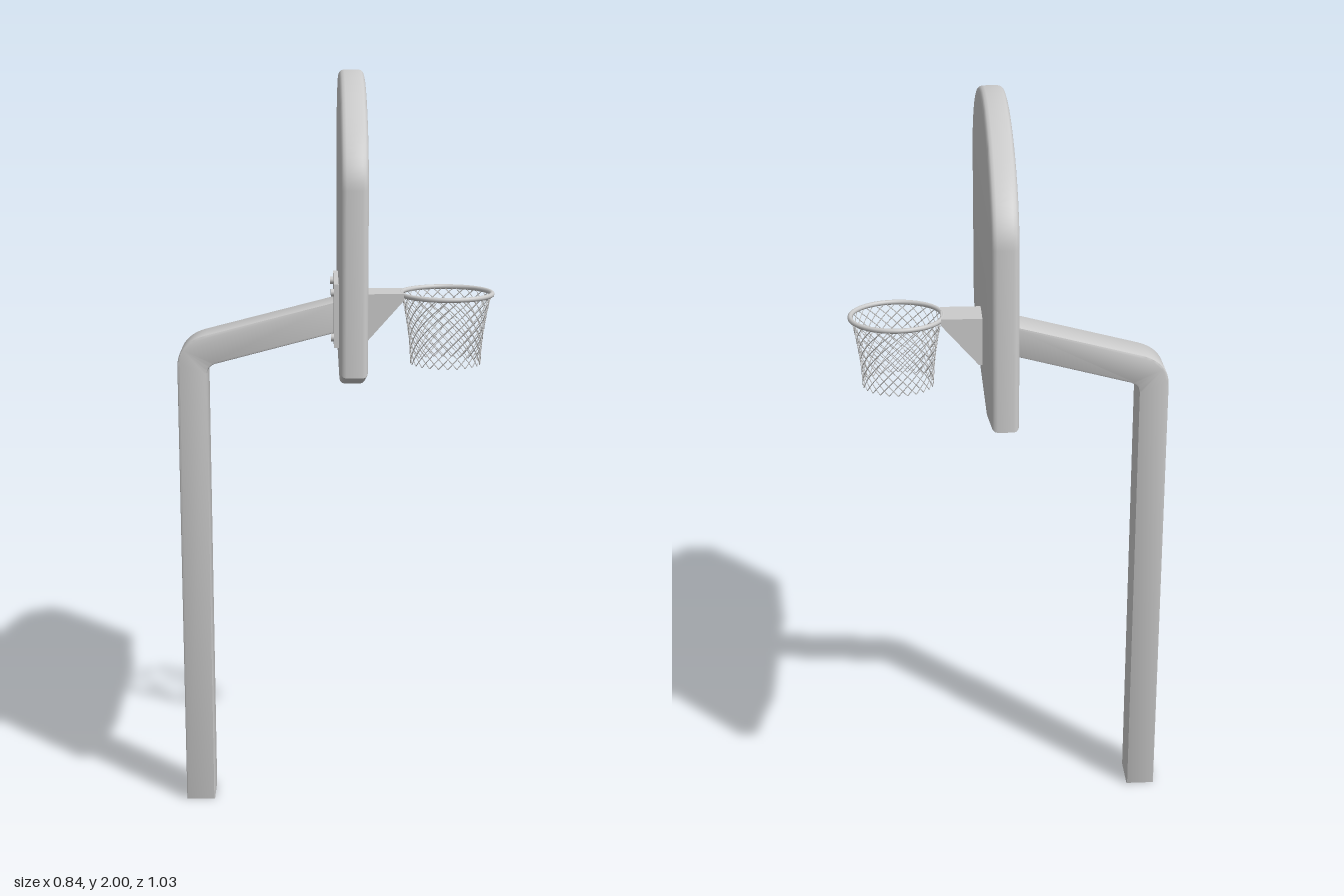
import * as THREE from 'three';
import { toCreasedNormals } from 'three/addons/utils/BufferGeometryUtils.js';

const material = new THREE.MeshStandardMaterial({ color: 0xcccccc });

function add(parent, name, geometry, x = 0, y = 0, z = 0) {
  const mesh = new THREE.Mesh(geometry, material);
  mesh.name = name;
  mesh.position.set(x, y, z);
  parent.add(mesh);
  return mesh;
}

// Extrudes a shape to a total depth, centred on z, with the bevel kept inside the outline
function slab(shape, depth, bevel, segments = 3) {
  const geometry = new THREE.ExtrudeGeometry(shape, {
    depth: depth - 2 * bevel, bevelEnabled: bevel > 0, bevelSize: bevel,
    bevelThickness: bevel, bevelOffset: -bevel, bevelSegments: segments, curveSegments: 12,
  });
  geometry.translate(0, 0, bevel - depth / 2);
  return toCreasedNormals(geometry, 0.6);
}

// Upright post bending into the sloping arm
function buildPost(group) {
  const s = new THREE.Shape();
  s.moveTo(-0.42, 0);
  s.lineTo(-0.342, 0);
  s.lineTo(-0.342, 1.215);
  s.quadraticCurveTo(-0.342, 1.238, -0.318, 1.245);
  s.lineTo(0.0, 1.328);
  s.lineTo(0.0, 1.41);
  s.lineTo(-0.345, 1.322);
  s.quadraticCurveTo(-0.42, 1.303, -0.42, 1.235);
  s.closePath();
  add(group, 'post', slab(s, 0.112, 0.006, 2));
}

// Board with a domed top and clipped lower corners
function buildBoard(group) {
  const s = new THREE.Shape();
  const half = 0.515, shoulder = 1.74, rise = 0.26;
  s.moveTo(-0.262, 1.235);
  s.lineTo(0.262, 1.235);
  s.lineTo(half, 1.3);
  for (let i = 0; i <= 40; i++) {
    const a = (i / 40) * Math.PI, c = Math.cos(a);
    const x = half * Math.sign(c) * Math.pow(Math.abs(c), 1.05);
    s.lineTo(x, shoulder + rise * Math.pow(Math.max(0, Math.sin(a)), 1.05));
  }
  s.lineTo(-half, 1.3);
  s.closePath();
  const board = add(group, 'backboard', slab(s, 0.065, 0.014), 0.037);
  board.rotation.y = Math.PI / 2;
}

// Rear mounting plate with four bolts
function buildMount(group) {
  const mount = new THREE.Group();
  mount.name = 'mountingPlate';
  group.add(mount);
  add(mount, 'plate', new THREE.BoxGeometry(0.016, 0.165, 0.254), 0, 1.383, 0);
  for (const y of [1.325, 1.442]) {
    for (const z of [-0.11, 0.11]) {
      const bolt = add(mount, 'bolt', new THREE.CylinderGeometry(0.01, 0.01, 0.01, 12), -0.011, y, z);
      bolt.rotation.z = Math.PI / 2;
    }
  }
}

// Folded bracket, open underneath, carrying the rim
function buildBracket(group) {
  const bracket = new THREE.Group();
  bracket.name = 'rimBracket';
  group.add(bracket);
  add(bracket, 'bracketTop', new THREE.BoxGeometry(0.108, 0.008, 0.106), 0.122, 1.425, 0);
  add(bracket, 'bracketBack', new THREE.BoxGeometry(0.008, 0.125, 0.106), 0.072, 1.366, 0);
  const s = new THREE.Shape();
  s.moveTo(0.068, 1.304);
  s.lineTo(0.08, 1.304);
  s.lineTo(0.176, 1.412);
  s.lineTo(0.176, 1.428);
  s.lineTo(0.068, 1.428);
  s.closePath();
  for (const side of [-1, 1]) add(bracket, 'bracketSide', slab(s, 0.008, 0), 0, 0, side * 0.049);
}

// Rim and the net of crossing cords
function buildHoop(group) {
  const hoop = new THREE.Group();
  hoop.name = 'hoop';
  hoop.position.set(0.29, 1.423, 0);
  group.add(hoop);
  const rim = add(hoop, 'rim', new THREE.TorusGeometry(0.1205, 0.0065, 10, 64));
  rim.rotation.x = Math.PI / 2;

  const strands = 24, steps = 28, height = 0.187, twist = (7 / strands) * Math.PI * 2;
  const radius = (t) => 0.093 + 0.025 * Math.pow(1 - t, 1.7);
  for (const dir of [-1, 1]) {
    const points = [];
    for (let i = 0; i <= steps; i++) {
      const t = i / steps, a = dir * t * twist;
      points.push(new THREE.Vector3(Math.cos(a) * radius(t), -t * height, Math.sin(a) * radius(t)));
    }
    const cord = new THREE.TubeGeometry(new THREE.CatmullRomCurve3(points), steps, 0.0013, 4);
    for (let k = 0; k < strands; k++) {
      add(hoop, 'netCord', cord).rotation.y = (k / strands) * Math.PI * 2;
    }
  }
}

export function createModel() {
  const group = new THREE.Group();
  group.name = 'basketballHoop';
  buildPost(group);
  buildBoard(group);
  buildMount(group);
  buildBracket(group);
  buildHoop(group);
  return group;
}
